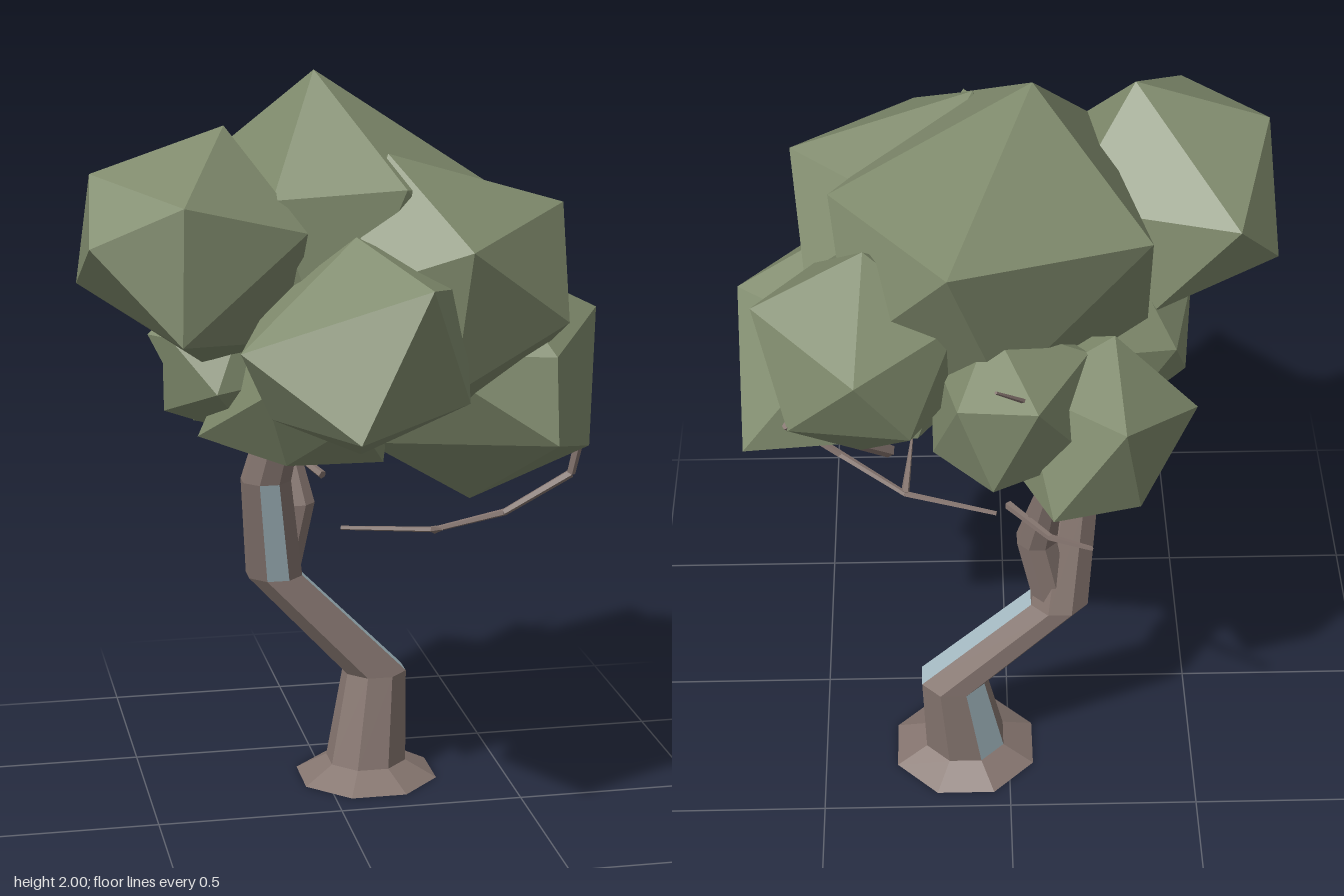
import * as THREE from 'three';
import { ConvexGeometry } from 'three/addons/geometries/ConvexGeometry.js';

const flat = (name, color) => {
  const m = new THREE.MeshStandardMaterial({ color, flatShading: true });
  m.name = name;
  return m;
};
const vec = p => new THREE.Vector3(...p);
const UP = new THREE.Vector3(0, 1, 0);

// Eight-sided limb through level rings [x, y, z, radius]; pale = { segment: face }
function limb(name, rings, mats, pale = {}) {
  const N = 8, pos = [], geo = new THREE.BufferGeometry();
  const pt = ([x, y, z, r], i) => {
    const a = (i - 0.5) * Math.PI * 2 / N;
    return [x + r * Math.cos(a), y, z + r * Math.sin(a)];
  };
  const tri = (mat, ...pts) => {
    geo.addGroup(pos.length / 3, pts.length, mat);
    pts.forEach(p => pos.push(...p));
  };
  for (let s = 0; s < rings.length - 1; s++) {
    for (let i = 0; i < N; i++) {
      const a = pt(rings[s], i), b = pt(rings[s], i + 1);
      const c = pt(rings[s + 1], i), d = pt(rings[s + 1], i + 1);
      tri(pale[s] === i ? 1 : 0, a, c, b, c, d, b);
    }
  }
  // End caps
  const first = rings[0], last = rings[rings.length - 1];
  for (let i = 0; i < N; i++) {
    tri(0, first.slice(0, 3), pt(first, i), pt(first, i + 1));
    tri(0, last.slice(0, 3), pt(last, i + 1), pt(last, i));
  }
  geo.setAttribute('position', new THREE.Float32BufferAttribute(pos, 3));
  geo.computeVertexNormals();
  const mesh = new THREE.Mesh(geo, mats);
  mesh.name = name;
  return mesh;
}

// Thin tapering branch made of straight pieces
function branch(name, points, r0, r1, mat) {
  const g = new THREE.Group(), n = points.length - 1;
  g.name = name;
  const v = points.map(vec);
  for (let i = 0; i < n; i++) {
    const dir = v[i + 1].clone().sub(v[i]);
    const ra = THREE.MathUtils.lerp(r0, r1, i / n), rb = THREE.MathUtils.lerp(r0, r1, (i + 1) / n);
    const m = new THREE.Mesh(new THREE.CylinderGeometry(rb, ra, dir.length(), 5), mat);
    m.position.copy(v[i]).addScaledVector(dir, 0.5);
    m.quaternion.setFromUnitVectors(UP, dir.normalize());
    m.name = name + 'Piece';
    g.add(m);
  }
  return g;
}

// Faceted leaf clump: a twelve-cornered ball turned towards its first two tips,
// with the nearest free corner pulled out to each tip
function clump(name, center, radius, tips, mat) {
  const c = vec(center), targets = tips.map(vec);
  const w = targets[0].clone().sub(c).normalize();
  const u = targets[1].clone().sub(c);
  const side = u.dot(w) < 0 ? -1 : 1;
  u.projectOnPlane(w).normalize();
  const v = w.clone().cross(u);
  const at = (a, b, h) => c.clone().addScaledVector(u, a * radius).addScaledVector(v, b * radius).addScaledVector(w, h * radius);
  const corners = [at(0, 0, 1), at(0, 0, -1)];
  for (let i = 0; i < 10; i++) {
    const a = i * Math.PI / 5;
    corners.push(at(0.894 * Math.cos(a), 0.894 * Math.sin(a), (i % 2 ? -0.447 : 0.447) * side));
  }
  const free = corners.slice();
  for (const t of targets) {
    free.sort((p, q) => p.distanceTo(t) - q.distanceTo(t));
    free.shift().copy(t);
  }
  const m = new THREE.Mesh(new ConvexGeometry(corners), mat);
  m.name = name;
  return m;
}

export function createModel() {
  const tree = new THREE.Group();
  tree.name = 'tree';
  const bark = flat('bark', 0x85756f), pale = flat('paleBark', 0xa8bec6), leaf = flat('leaves', 0x7f8a6c);

  // Crooked trunk with flared foot, and its rear fork
  tree.add(limb('trunk', [
    [0.12, 0, -0.265, 0.2], [0.12, 0.045, -0.27, 0.113], [0.15, 0.295, -0.3, 0.09],
    [-0.13, 0.585, -0.315, 0.08], [-0.165, 0.88, -0.23, 0.07],
    [-0.13, 1.05, -0.19, 0.06], [-0.04, 1.3, -0.1, 0.04],
  ], [bark, pale], { 1: 5, 2: 0, 3: 2 }));
  tree.add(limb('rearFork', [
    [-0.12, 0.56, -0.315, 0.055], [-0.07, 0.79, -0.315, 0.055],
    [-0.1, 1.0, -0.385, 0.035], [-0.12, 1.2, -0.42, 0.03],
  ], [bark, pale]));

  // Bare branches poking out of the crown
  tree.add(
    branch('lowBranch', [[0.03, 0.75, -0.17], [0.27, 0.755, -0.09], [0.44, 0.82, 0],
      [0.61, 0.93, 0.04], [0.63, 1.05, 0.06]], 0.006, 0.014, bark),
    branch('lowTwig', [[0.27, 0.755, -0.09], [0.25, 0.81, 0.09]], 0.012, 0.003, bark),
    branch('backBranch', [[0, 0.87, -0.28], [-0.1, 0.93, -0.48], [-0.19, 1.04, -0.65]], 0.012, 0.006, bark),
    branch('sideBranch', [[0.3, 1.08, -0.31], [0.54, 1.33, -0.52]], 0.018, 0.01, bark),
    branch('highBranch', [[-0.07, 1.3, -0.54], [-0.06, 1.42, -0.57], [0.04, 1.52, -0.65]], 0.012, 0.004, bark),
  );

  // Crown: name, centre, radius, tips
  const crown = new THREE.Group();
  crown.name = 'crown';
  [
    ['topClump', [0.02, 1.55, -0.1], 0.46,
      [[-0.06, 2, -0.07], [0.15, 1.77, -0.56], [0.44, 1.67, -0.04], [-0.22, 1.72, 0.24], [0.02, 1.35, -0.43]]],
    ['frontRightClump', [0.22, 1.47, 0.15], 0.35, [[0.08, 1.82, 0.19], [0.54, 1.68, 0.16], [0.23, 1.62, 0.49]]],
    ['leftClump', [-0.41, 1.56, 0.12], 0.33,
      [[-0.32, 1.89, 0.11], [-0.68, 1.63, 0.32], [-0.57, 1.62, -0.16], [-0.47, 1.4, 0.42], [-0.38, 1.29, 0.1]]],
    ['backRightClump', [0.36, 1.41, -0.33], 0.28, [[0.35, 1.67, -0.29], [0.62, 1.56, -0.36], [0.37, 1.51, -0.62]]],
    ['rightClump', [0.36, 1.2, 0.02], 0.34, [[0.68, 1.37, 0], [0.67, 1.06, -0.28], [0.34, 0.87, 0.02], [0.49, 1.09, 0.35]]],
    ['frontClump', [0, 1.35, 0.34], 0.29, [[-0.08, 1.2, 0.66], [0.1, 1.56, 0.63], [-0.33, 1.38, 0.42], [-0.03, 1.11, 0.4]]],
    ['backLeftClump', [-0.19, 1.21, -0.37], 0.25, [[-0.27, 1.36, -0.62], [-0.46, 1.26, -0.38], [-0.1, 1.1, -0.62]]],
    ['backClump', [0, 1.28, -0.38], 0.24, [[-0.06, 1.45, -0.65], [0.13, 1.4, -0.57]]],
    ['lowerLeftClump', [-0.28, 1.27, -0.06], 0.22, [[-0.46, 1.13, -0.05], [-0.42, 1.3, -0.2]]],
    ['underClump', [-0.1, 1.22, 0.06], 0.23, [[0.1, 0.99, 0.05], [-0.38, 1.07, 0]]],
  ].forEach(c => crown.add(clump(...c, leaf)));
  tree.add(crown);
  return tree;
}
